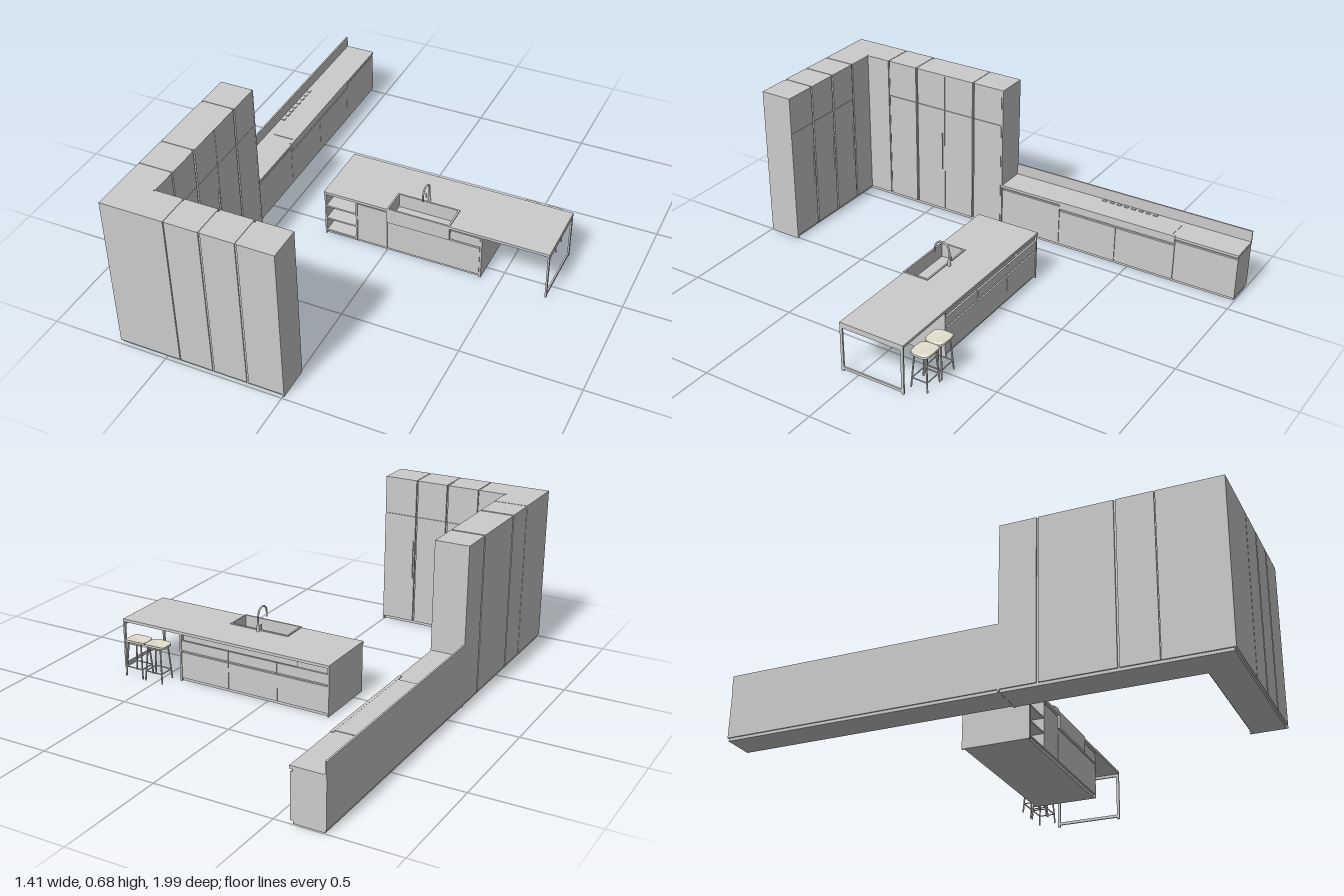
import * as THREE from 'three';

const grey = new THREE.MeshStandardMaterial({ color: 0xcccccc });
const cream = new THREE.MeshStandardMaterial({ color: 0xe4e1d0 });

// Box given by its min and max on each axis
function box(parent, name, x0, x1, y0, y1, z0, z1, mat = grey) {
  const m = new THREE.Mesh(new THREE.BoxGeometry(x1 - x0, y1 - y0, z1 - z0), mat);
  m.position.set((x0 + x1) / 2, (y0 + y1) / 2, (z0 + z1) / 2);
  m.name = name;
  parent.add(m);
  return m;
}

// Round bar following points
function tube(parent, name, pts, r, segs = 1) {
  const v = pts.map(p => new THREE.Vector3(...p));
  const curve = v.length === 2 ? new THREE.LineCurve3(v[0], v[1]) : new THREE.CatmullRomCurve3(v);
  const m = new THREE.Mesh(new THREE.TubeGeometry(curve, segs, r, 8), grey);
  m.name = name;
  parent.add(m);
}

function group(parent, name) {
  const g = new THREE.Group();
  g.name = name;
  parent.add(g);
  return g;
}

// L-shaped wall of tall cabinets
function tallCabinets(root) {
  const g = group(root, 'tallCabinets');
  const H = 0.683, gap = 0.004, split = 0.515;
  box(g, 'plinth', -0.7, 0, 0, 0.014, 0.856, 0.985);
  box(g, 'plinth', -0.7, -0.566, 0, 0.014, 0.135, 0.856);
  // corner unit
  box(g, 'cornerUnit', -0.705, -0.44, 0.012, H, 0.852, 0.992);
  box(g, 'cornerUnit', -0.705, -0.565, 0.012, H, 0.733, 0.852);
  // units along the front
  const xs = [-0.44, -0.293, -0.147, 0.002];
  for (let i = 0; i < 3; i++) {
    const a = xs[i] + gap, b = xs[i + 1] - gap;
    box(g, 'frontUnit', a, b, 0.012, H, 0.852, 0.992);
    box(g, 'unitDoor', a, b, 0.014, split - 0.001, 0.847, 0.852);
    box(g, 'unitUpperDoor', a, b, split + 0.001, H, 0.847, 0.852);
    box(g, 'jointFiller', xs[i] - gap, a, 0.012, H - 0.002, 0.857, 0.988);
    box(g, 'doorHandle', a + 0.006, a + 0.009, 0.22, 0.4, 0.841, 0.847);
  }
  box(g, 'endPanel', -0.002, 0.006, 0, H, 0.847, 0.992);
  box(g, 'cornerDoor', -0.56, -0.444, 0.014, H, 0.847, 0.852);
  // units along the side
  const zs = [0.13, 0.28, 0.58, 0.733];
  for (let i = 0; i < 3; i++) {
    const a = zs[i] + gap, b = zs[i + 1] - gap;
    box(g, 'sideUnit', -0.705, -0.565, 0.012, H, a, b);
    box(g, 'jointFiller', -0.7, -0.57, 0.012, H - 0.002, b, zs[i + 1] + gap);
    const n = i === 1 ? 2 : 1, w = (b - a) / n;
    for (let k = 0; k < n; k++) {
      const z0 = a + k * w + 0.001, z1 = a + (k + 1) * w - 0.001;
      box(g, 'sideDoor', -0.565, -0.56, 0.014, split - 0.001, z0, z1);
      box(g, 'sideUpperDoor', -0.565, -0.56, split + 0.001, H, z0, z1);
    }
  }
  box(g, 'cornerSideDoor', -0.565, -0.56, 0.014, H, 0.735, 0.847);
  box(g, 'doorHandle', -0.56, -0.554, 0.22, 0.4, 0.44, 0.443);
  box(g, 'endPanel', -0.705, -0.56, 0, H, 0.127, 0.134);
}

// Low worktop run with splashback
function lowRun(root) {
  const g = group(root, 'lowRun');
  box(g, 'plinth', -0.7, -0.575, 0, 0.014, -0.995, 0.127);
  box(g, 'carcass', -0.705, -0.575, 0.012, 0.21, -0.998, 0.127);
  box(g, 'worktop', -0.705, -0.563, 0.21, 0.222, -1, 0.127);
  box(g, 'splashback', -0.705, -0.698, 0.222, 0.272, -1, 0.127);
  const zs = [-1, -0.717, -0.44, -0.165, 0.127];
  for (let i = 0; i < 4; i++) {
    const mid = i === 1 || i === 2;
    box(g, 'drawerFront', -0.575, -0.566, 0.014, mid ? 0.178 : 0.2, zs[i] + 0.001, zs[i + 1] - 0.001);
  }
  // cooking section
  box(g, 'cookerApron', -0.575, -0.562, 0.19, 0.225, -0.716, -0.166);
  box(g, 'hob', -0.67, -0.575, 0.222, 0.2245, -0.7, -0.2);
  for (let i = 0; i < 8; i++) {
    const z = -0.58 + i * 0.035;
    box(g, 'hobVent', -0.69, -0.678, 0.222, 0.226, z, z + 0.02);
  }
}

// Island with shelves, apron sink and table end
function island(root) {
  const g = group(root, 'island');
  const X0 = -0.285, X1 = 0.705, ZB = -0.217, ZF = 0.075;
  const s = { x0: 0.003, x1: 0.28, z0: -0.04, y: 0.155 };

  // worktop notched around the sink
  box(g, 'worktop', X0, X1, 0.21, 0.222, ZB, s.z0);
  box(g, 'worktop', X0, s.x0, 0.21, 0.222, s.z0, ZF);
  box(g, 'worktop', s.x1, X1, 0.21, 0.222, s.z0, ZF);

  // body
  box(g, 'plinth', X0 + 0.006, 0.415, 0, 0.014, ZB + 0.012, 0.062);
  box(g, 'body', -0.135, 0.412, 0.012, 0.15, -0.205, 0.062);
  box(g, 'bodyRear', -0.135, 0.412, 0.15, 0.21, -0.195, s.z0);
  box(g, 'bodyLeftOfSink', -0.135, s.x0, 0.15, 0.21, s.z0, 0.062);
  box(g, 'bodyRightOfSink', s.x1, 0.412, 0.15, 0.21, s.z0, 0.062);
  box(g, 'sidePanel', 0.412, 0.42, 0, 0.21, ZB + 0.002, 0.07);
  box(g, 'sidePanel', X0, X0 + 0.007, 0, 0.21, ZB + 0.002, 0.07);

  // front doors
  box(g, 'frontDoor', -0.133, s.x0 - 0.002, 0.014, 0.202, 0.062, 0.07);
  box(g, 'sinkDoor', s.x0, 0.411, 0.014, 0.15, 0.062, 0.07);
  box(g, 'frontDrawer', s.x1 + 0.002, 0.411, 0.157, 0.202, 0.062, 0.07);

  // rear drawers below a grip channel
  for (let i = 0; i < 3; i++) {
    const w = (0.412 - X0 - 0.007) / 3, x = X0 + 0.007 + i * w;
    box(g, 'rearLowerDrawer', x + 0.001, x + w - 0.001, 0.014, 0.13, ZB + 0.004, -0.205);
    box(g, 'rearUpperDrawer', x + 0.001, x + w - 0.001, 0.138, 0.182, ZB + 0.004, -0.205);
  }

  // open shelves
  const sh = group(g, 'openShelves');
  box(sh, 'shelfBack', X0, -0.135, 0.012, 0.21, -0.205, -0.06);
  box(sh, 'shelfSide', -0.142, -0.135, 0.012, 0.21, -0.06, 0.07);
  for (const y of [0.012, 0.075, 0.14]) box(sh, 'shelf', X0 + 0.007, -0.142, y, y + 0.007, -0.06, 0.068);

  // table end frame
  const f = group(g, 'tableLegFrame');
  const fx = X1 - 0.007;
  box(f, 'rearLeg', fx, X1, 0, 0.21, ZB, ZB + 0.012);
  box(f, 'frontLeg', fx, X1, 0, 0.21, ZF - 0.012, ZF);
  box(f, 'floorBar', fx, X1, 0.008, 0.02, ZB + 0.012, ZF - 0.012);
  box(f, 'topBar', fx, X1, 0.198, 0.21, ZB + 0.012, ZF - 0.012);

  // apron sink
  const k = group(g, 'sink'), t = 0.007, top = 0.226, zf = ZF + 0.002;
  box(k, 'basinFloor', s.x0, s.x1, s.y, s.y + t, s.z0, zf);
  box(k, 'apron', s.x0, s.x1, s.y + t, top, zf - t, zf);
  box(k, 'basinBack', s.x0, s.x1, s.y + t, top, s.z0, s.z0 + t);
  box(k, 'basinSide', s.x0, s.x0 + t, s.y + t, top, s.z0 + t, zf - t);
  box(k, 'basinSide', s.x1 - t, s.x1, s.y + t, top, s.z0 + t, zf - t);

  // faucet
  const p = group(g, 'faucet'), x = 0.138, z = -0.05;
  const pts = [[x, 0.222, z], [x, 0.26, z], [x, 0.287, z]];
  for (let i = 1; i <= 6; i++) {
    const a = Math.PI * i / 6;
    pts.push([x, 0.287 + 0.034 * Math.sin(a), z + 0.034 * (1 - Math.cos(a))]);
  }
  pts.push([x, 0.265, z + 0.068]);
  tube(p, 'spout', pts, 0.004, 40);
  tube(p, 'base', [[x, 0.222, z], [x, 0.25, z]], 0.007);
  tube(p, 'lever', [[x, 0.24, z], [x - 0.015, 0.24, z]], 0.004);
  tube(p, 'lever', [[x - 0.015, 0.237, z], [x - 0.015, 0.258, z]], 0.003);
}

// Bar stool with a dished seat and splayed legs
function stool(root, cx) {
  const g = group(root, 'stool');
  const cz = -0.247;
  const shape = new THREE.Shape();
  for (let i = 0; i < 32; i++) {
    const a = i / 32 * Math.PI * 2, c = Math.cos(a), s = Math.sin(a);
    const px = 0.048 * Math.sign(c) * Math.abs(c) ** 0.55, py = 0.045 * Math.sign(s) * Math.abs(s) ** 0.6;
    i ? shape.lineTo(px, py) : shape.moveTo(px, py);
  }
  const geo = new THREE.ExtrudeGeometry(shape, {
    depth: 0.006, bevelEnabled: true, bevelSize: 0.001, bevelThickness: 0.002, bevelSegments: 2
  });
  geo.rotateX(-Math.PI / 2);
  // raise the rear lip
  const q = geo.attributes.position;
  for (let i = 0; i < q.count; i++) {
    const lift = Math.max(0, -q.getZ(i) - 0.02) / 0.026;
    q.setY(i, q.getY(i) + 0.008 * lift * lift);
  }
  geo.computeVertexNormals();
  const seat = new THREE.Mesh(geo, cream);
  seat.name = 'seat';
  seat.position.set(cx, 0.152, cz);
  g.add(seat);
  box(g, 'seatSupport', cx - 0.032, cx + 0.032, 0.143, 0.15, cz - 0.028, cz + 0.028);
  const at = (sx, sz, y) => {
    const e = 1 - y / 0.15;
    return [cx + sx * (0.031 + 0.011 * e), y, cz + sz * (0.027 + 0.01 * e)];
  };
  for (const u of [-1, 1]) {
    for (const w of [-1, 1]) tube(g, 'leg', [at(u, w, 0), at(u, w, 0.15)], 0.0035);
    tube(g, 'footRail', [at(-1, u, 0.042), at(1, u, 0.042)], 0.0025);
    tube(g, 'sideRail', [at(u, -1, 0.042), at(u, 1, 0.042)], 0.0025);
  }
}

export function createModel() {
  const root = new THREE.Group();
  root.name = 'kitchen';
  tallCabinets(root);
  lowRun(root);
  island(root);
  for (const x of [0.507, 0.605]) stool(root, x);
  return root;
}
